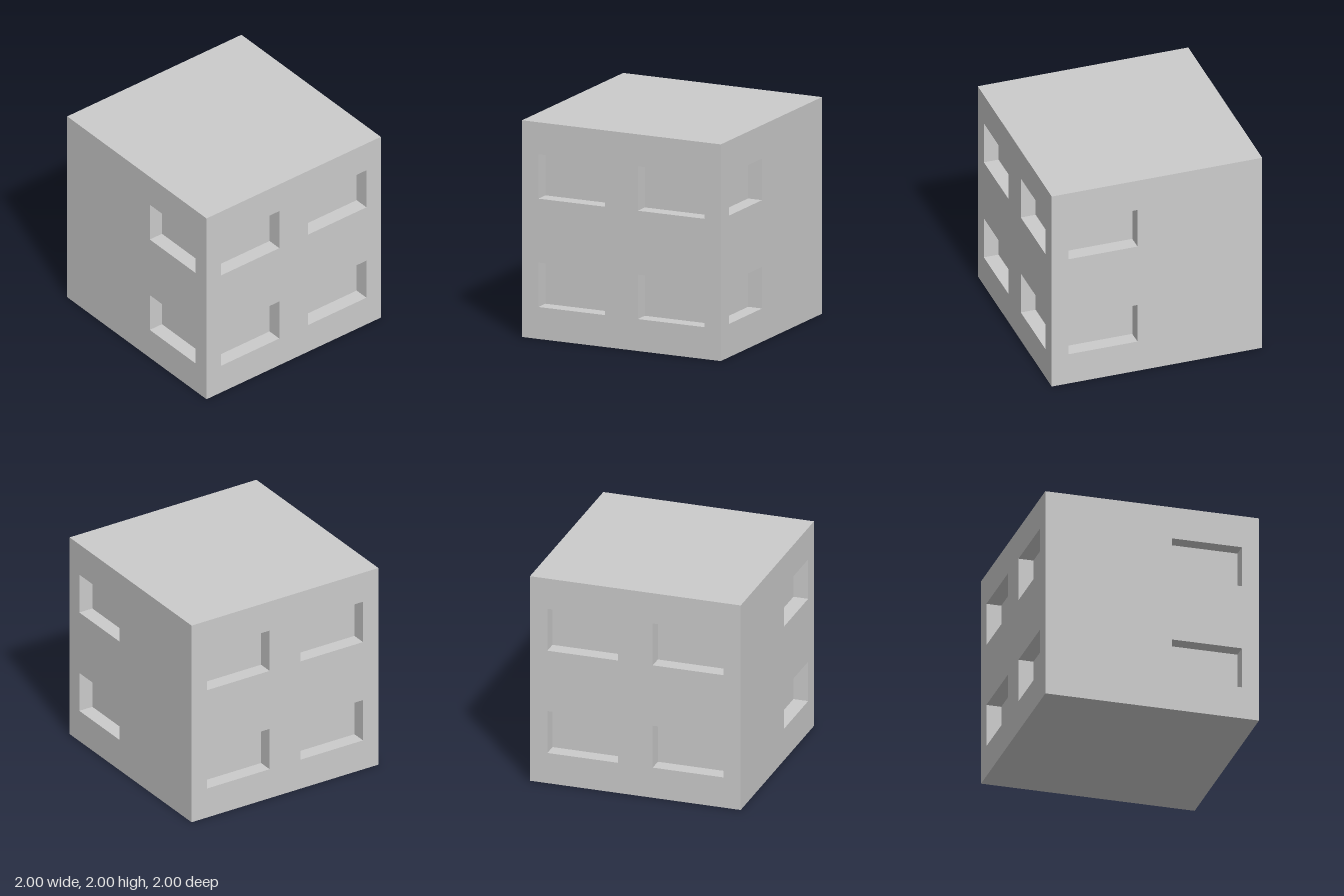
import * as THREE from 'three';
import { mergeGeometries } from 'three/addons/utils/BufferGeometryUtils.js';

const DEPTH = 0.14; // how far the windows are set back
const material = new THREE.MeshStandardMaterial({ color: 0xcccccc, flatShading: true });

// Flat wall in its own frame: x across, y up from the ground, outside facing +z, with openings cut out
function wallGeometry(openings) {
  const shape = new THREE.Shape([[-1, 0], [1, 0], [1, 2], [-1, 2]].map(p => new THREE.Vector2(...p)));
  for (const { x, y, w, h } of openings) {
    const corners = [[-1, -1], [-1, 1], [1, 1], [1, -1]];
    shape.holes.push(new THREE.Path(corners.map(([i, j]) => new THREE.Vector2(x + i * w / 2, y + j * h / 2))));
  }
  return new THREE.ShapeGeometry(shape);
}

// Window recess: a back pane and four inward-facing reveals
function recessGeometry({ x, y, w, h }) {
  const d = DEPTH;
  return mergeGeometries([
    new THREE.PlaneGeometry(w, h).translate(0, 0, -d),
    new THREE.PlaneGeometry(d, h).rotateY(Math.PI / 2).translate(-w / 2, 0, -d / 2),
    new THREE.PlaneGeometry(d, h).rotateY(-Math.PI / 2).translate(w / 2, 0, -d / 2),
    new THREE.PlaneGeometry(w, d).rotateX(-Math.PI / 2).translate(0, -h / 2, -d / 2),
    new THREE.PlaneGeometry(w, d).rotateX(Math.PI / 2).translate(0, h / 2, -d / 2),
  ]).translate(x, y, 0);
}

function createWall(name, openings, angle) {
  const wall = new THREE.Group();
  wall.name = name;
  const face = new THREE.Mesh(wallGeometry(openings), material);
  face.name = name + 'Face';
  wall.add(face);
  openings.forEach((opening, i) => {
    const recess = new THREE.Mesh(recessGeometry(opening), material);
    recess.name = `${name}Window${i + 1}`;
    wall.add(recess);
  });
  wall.children.forEach(part => part.geometry.translate(0, 0, 1));
  wall.rotation.y = angle;
  return wall;
}

// Two storeys of windows at the given positions across the wall
const storeys = (xs, w, h) => [0.5, 1.5].flatMap(y => xs.map(x => ({ x, y, w, h })));

export function createModel() {
  const model = new THREE.Group();
  model.name = 'building';

  // Front and back carry four windows, the sides two near the front
  const wide = storeys([-0.5, 0.5], 0.67, 0.41);
  model.add(
    createWall('frontWall', wide, 0),
    createWall('backWall', wide, Math.PI),
    createWall('leftWall', storeys([-0.513], 0.655, 0.385), Math.PI / 2),
    createWall('rightWall', storeys([0.513], 0.655, 0.385), -Math.PI / 2),
  );

  // Flat roof and underside
  const roof = new THREE.Mesh(new THREE.PlaneGeometry(2, 2).rotateX(-Math.PI / 2).translate(0, 2, 0), material);
  roof.name = 'roof';
  const base = new THREE.Mesh(new THREE.PlaneGeometry(2, 2).rotateX(Math.PI / 2), material);
  base.name = 'base';
  model.add(roof, base);
  return model;
}
